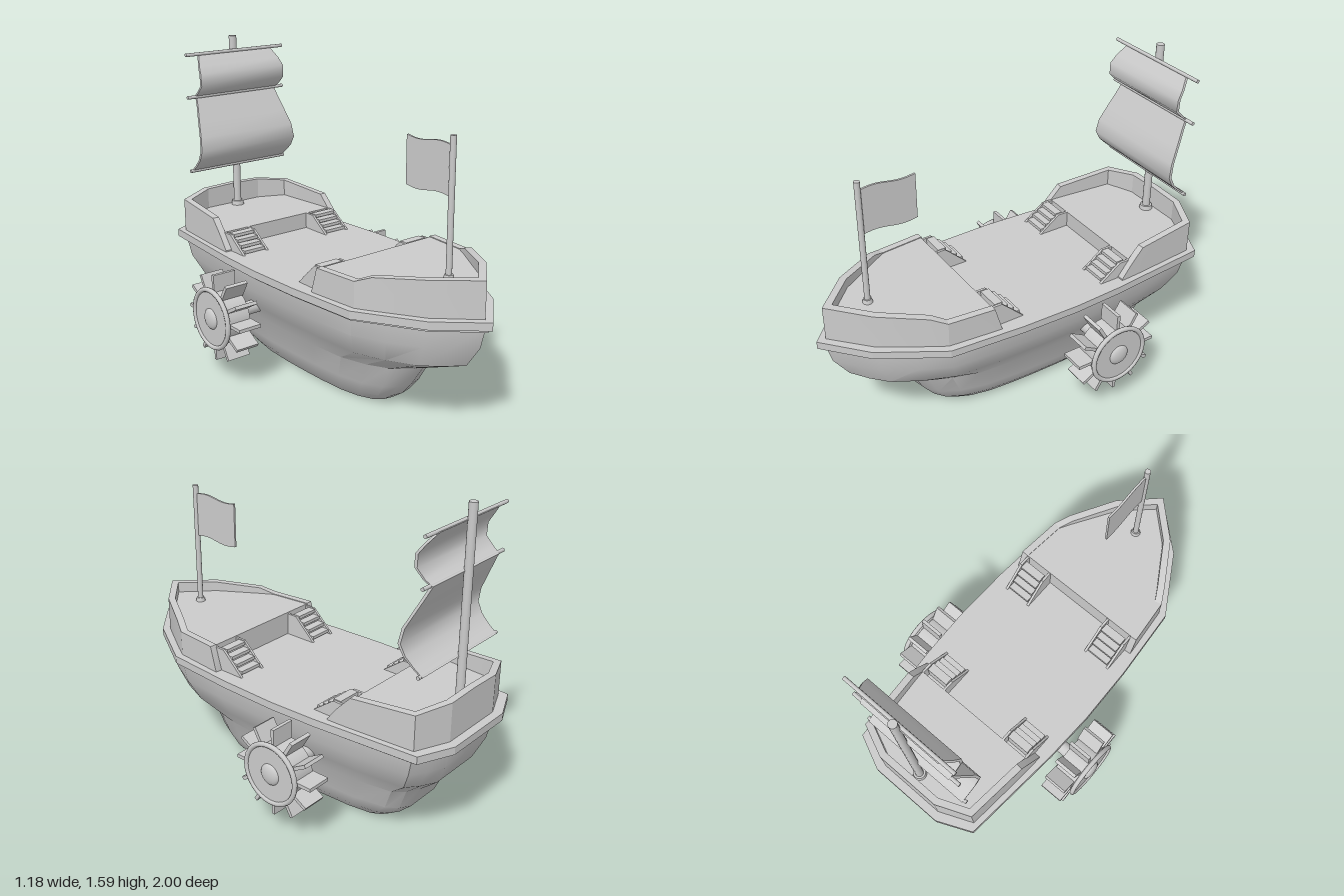
import * as THREE from 'three';
import { toCreasedNormals } from 'three/addons/utils/BufferGeometryUtils.js';

const material = new THREE.MeshStandardMaterial({ color: 0xcccccc });

function add(parent, name, geometry, x = 0, y = 0, z = 0) {
  const mesh = new THREE.Mesh(geometry, material);
  mesh.name = name;
  mesh.position.set(x, y, z);
  parent.add(mesh);
  return mesh;
}

// Closed solid through a list of equal-length rings of [x, y, z]
function loft(rings, crease = 0.6) {
  const n = rings[0].length, pos = rings.flat(2), tris = [];
  for (let r = 0; r < rings.length - 1; r++) {
    for (let i = 0; i < n; i++) {
      const a = r * n + i, b = r * n + (i + 1) % n;
      tris.push([a, b, b + n], [a, b + n, a + n]);
    }
  }
  const last = (rings.length - 1) * n;
  for (let i = 1; i < n - 1; i++) {
    tris.push([0, i + 1, i], [last, last + i, last + i + 1]);
  }
  // Turn the faces outward if the signed volume is negative
  const v = (i) => new THREE.Vector3().fromArray(pos, i * 3);
  const volume = tris.reduce((s, [a, b, c]) => s + v(a).dot(v(b).cross(v(c))), 0);
  if (volume < 0) tris.forEach((t) => t.reverse());
  const g = new THREE.BufferGeometry();
  g.setAttribute('position', new THREE.Float32BufferAttribute(pos, 3));
  g.setIndex(tris.flat());
  return toCreasedNormals(g, crease);
}

// Complete a half path (+x side) with its mirror image
const mirrored = (half) => [...half, ...half.filter((p) => p[0] > 0).reverse().map(([x, ...rest]) => [-x, ...rest])];

// Horizontal slab from an outline of [x, z]
function slab(outline, y0, y1) {
  const shape = new THREE.Shape(outline.map(([x, z]) => new THREE.Vector2(x, -z)));
  return new THREE.ExtrudeGeometry(shape, { depth: y1 - y0, bevelEnabled: false }).rotateX(-Math.PI / 2).translate(0, y0, 0);
}

// Wall along a path of [x, z, topHeight], thickened to one side with mitred corners
function wall(path, y0, thickness) {
  const normal = (a, b) => new THREE.Vector2(b[1] - a[1], a[0] - b[0]).normalize();
  return loft(path.map((p, i) => {
    const n1 = normal(path[Math.max(i - 1, 0)], path[Math.max(i, 1)]);
    const n2 = i < path.length - 1 ? normal(p, path[i + 1]) : n1;
    const m = n1.clone().add(n2).multiplyScalar(thickness / (1 + n1.dot(n2)));
    const [x, z, h] = p, xi = x + m.x, zi = z + m.y;
    return [[x, y0, z], [x, h, z], [xi, h, zi], [xi, y0, zi]];
  }), 0.3);
}

function buildHull(ship) {
  // Pointed outline at the rail blends into a rounder one at the keel
  const sharp = mirrored([[0, 1], [0.25, 0.91], [0.49, 0.82], [0.73, 0.67], [0.93, 0.52], [0.98, 0.25],
    [1, 0], [1, -0.3], [0.96, -0.62], [0.88, -0.92], [0.68, -0.96], [0.46, -1], [0, -1]]);
  const blunt = mirrored([[0, 1], [0.3, 0.98], [0.56, 0.91], [0.78, 0.76], [0.92, 0.55], [0.98, 0.27],
    [1, 0], [1, -0.3], [0.95, -0.62], [0.82, -0.86], [0.65, -0.95], [0.42, -1], [0, -1]]);
  // [y, half width, bow z, stern z, roundness]
  const levels = [[0, 0.15, 0.39, -0.59, 1], [0.05, 0.19, 0.46, -0.66, 1], [0.12, 0.222, 0.52, -0.73, 0.9],
    [0.24, 0.25, 0.6, -0.78, 0.7], [0.34, 0.315, 0.86, -0.89, 0.3], [0.45, 0.367, 0.935, -0.94, 0.1], [0.55, 0.38, 0.96, -0.96, 0]];
  add(ship, 'hull', loft(levels.map(([y, w, zf, zb, t]) => sharp.map(([x, z], i) => {
    const s = THREE.MathUtils.lerp(z, blunt[i][1], t);
    return [w * THREE.MathUtils.lerp(x, blunt[i][0], t), y, (zf + zb) / 2 + s * (zf - zb) / 2];
  })), 0.5));

  const rail = mirrored([[0, 1], [0.2, 0.82], [0.38, 0.52], [0.408, 0.15], [0.415, -0.15], [0.405, -0.4], [0.36, -0.925], [0.19, -1]]);
  add(ship, 'railAndDeck', slab(rail, 0.55, 0.588));
  add(ship, 'railUnderside', slab(rail.map(([x, z]) => [x * 0.95, z * 0.975]), 0.535, 0.55));
}

// Stair rising away from the middle of the ship; dir is the rising direction along z
function buildStair(ship, x, zEnd, height, length, dir) {
  const stair = new THREE.Group();
  stair.name = 'stair';
  const steps = 4, run = length - 0.05;
  for (let i = 0; i < steps; i++) {
    const h = height * (i + 0.7) / steps, d = length - 0.02 - run * i / steps;
    add(stair, 'step', new THREE.BoxGeometry(0.12, 0.016, run / steps + 0.012), 0, h, -dir * (d - run / steps / 2));
    add(stair, 'riser', new THREE.BoxGeometry(0.12, h, 0.01), 0, h / 2, -dir * (d - run / steps));
  }
  const side = new THREE.Shape([[0, 0], [length, 0], [0.055, height], [0, height]].map(([a, b]) => new THREE.Vector2(a * dir, b)));
  for (const sx of [-0.07, 0.07]) {
    const g = new THREE.ExtrudeGeometry(side, { depth: 0.012, bevelEnabled: false }).translate(0, 0, -0.006).rotateY(Math.PI / 2);
    add(stair, 'stringer', g, sx);
  }
  stair.position.set(x, 0.585, zEnd);
  ship.add(stair);
}

function buildDecks(ship) {
  const fore = mirrored([[0.366, 0.28], [0.345, 0.51], [0.175, 0.79], [0, 0.95]]);
  add(ship, 'foreDeck', slab(fore, 0.58, 0.708));
  add(ship, 'bowWall', wall(mirrored([[0.37, 0.245, 0.59], [0.367, 0.28, 0.712], [0.345, 0.51, 0.712],
    [0.305, 0.58, 0.74], [0.175, 0.79, 0.758], [0, 0.955, 0.762]]), 0.58, -0.035));

  const aft = mirrored([[0.35, -0.51], [0.32, -0.88], [0.165, -0.95]]);
  add(ship, 'aftDeck', slab(aft, 0.58, 0.67));
  add(ship, 'sternWall', wall(mirrored([[0.368, -0.45, 0.595], [0.366, -0.5, 0.66], [0.362, -0.57, 0.735],
    [0.335, -0.89, 0.757], [0.17, -0.96, 0.775], [0, -0.96, 0.78]]), 0.58, 0.034));

  for (const x of [-0.26, 0.26]) {
    buildStair(ship, x, 0.28, 0.115, 0.175, 1);
    buildStair(ship, x, -0.51, 0.085, 0.17, -1);
  }
}

function buildWheel(ship, side) {
  const wheel = new THREE.Group();
  wheel.name = side > 0 ? 'leftPaddleWheel' : 'rightPaddleWheel';
  const disc = (name, r, x0, x1, seg = 32) =>
    add(wheel, name, new THREE.CylinderGeometry(r, r, x1 - x0, seg).rotateZ(Math.PI / 2), side * (x0 + x1) / 2);
  disc('axle', 0.034, 0.2, 0.57, 20);
  disc('drum', 0.135, 0.435, 0.55, 24);
  disc('outerDisc', 0.14, 0.55, 0.57);
  add(wheel, 'rim', new THREE.TorusGeometry(0.146, 0.012, 8, 32).rotateY(Math.PI / 2), side * 0.568);
  const hub = add(wheel, 'hub', new THREE.SphereGeometry(0.053, 20, 12), side * 0.568);
  hub.scale.x = 0.4;
  // Paddles around the drum
  for (let i = 0; i < 12; i++) {
    const g = new THREE.BoxGeometry(0.122, 0.1, 0.017).translate(0, 0.17, 0).rotateX(i * Math.PI / 6);
    add(wheel, 'paddle', g, side * 0.491);
  }
  wheel.position.set(0, 0.335, -0.29);
  ship.add(wheel);
}

function buildSail(ship) {
  const z = -0.888;
  add(ship, 'mast', new THREE.CylinderGeometry(0.02, 0.02, 0.93, 16), 0, 1.125, z);
  add(ship, 'mastFoot', new THREE.CylinderGeometry(0.03, 0.034, 0.025, 16), 0, 0.68, z);
  for (const y of [0.908, 1.297, 1.515]) {
    add(ship, 'yard', new THREE.CylinderGeometry(0.009, 0.009, 0.6, 10).rotateZ(Math.PI / 2), 0, y, -0.868);
  }
  // Billowing cloth: rows of [y, half width, z]
  const cloths = {
    lowerSail: [[0.908, 0.285, -0.868], [0.94, 0.288, -0.825], [0.98, 0.292, -0.783], [1.03, 0.295, -0.757],
      [1.1, 0.288, -0.77], [1.18, 0.27, -0.81], [1.25, 0.253, -0.845], [1.297, 0.245, -0.868]],
    upperSail: [[1.297, 0.25, -0.868], [1.32, 0.255, -0.835], [1.36, 0.257, -0.795], [1.42, 0.258, -0.797],
      [1.46, 0.248, -0.825], [1.515, 0.22, -0.868]],
  };
  for (const [name, rows] of Object.entries(cloths)) {
    add(ship, name, loft(rows.map(([y, w, c]) => [[-w, y, c], [w, y, c], [w, y, c - 0.014], [-w, y, c - 0.014]]), 0.9));
  }
}

function buildFlag(ship) {
  add(ship, 'flagPole', new THREE.CylinderGeometry(0.014, 0.014, 0.64, 14), 0, 1.02, 0.735);
  add(ship, 'flagPoleFoot', new THREE.CylinderGeometry(0.02, 0.026, 0.025, 14), 0, 0.715, 0.735);
  const rings = [];
  for (let i = 0; i <= 12; i++) {
    const t = i / 12, w = 0.008 * Math.sin(t * 2 * Math.PI) , y = 1.185 + w, z = 0.73 - 0.27 * t, h = 0.112;
    rings.push([[-0.005, y - h, z], [0.005, y - h, z], [0.005, y + h, z], [-0.005, y + h, z]]);
  }
  add(ship, 'flag', loft(rings));
}

export function createModel() {
  const ship = new THREE.Group();
  ship.name = 'paddleShip';
  buildHull(ship);
  buildDecks(ship);
  buildWheel(ship, 1);
  buildWheel(ship, -1);
  buildSail(ship);
  buildFlag(ship);
  return ship;
}
